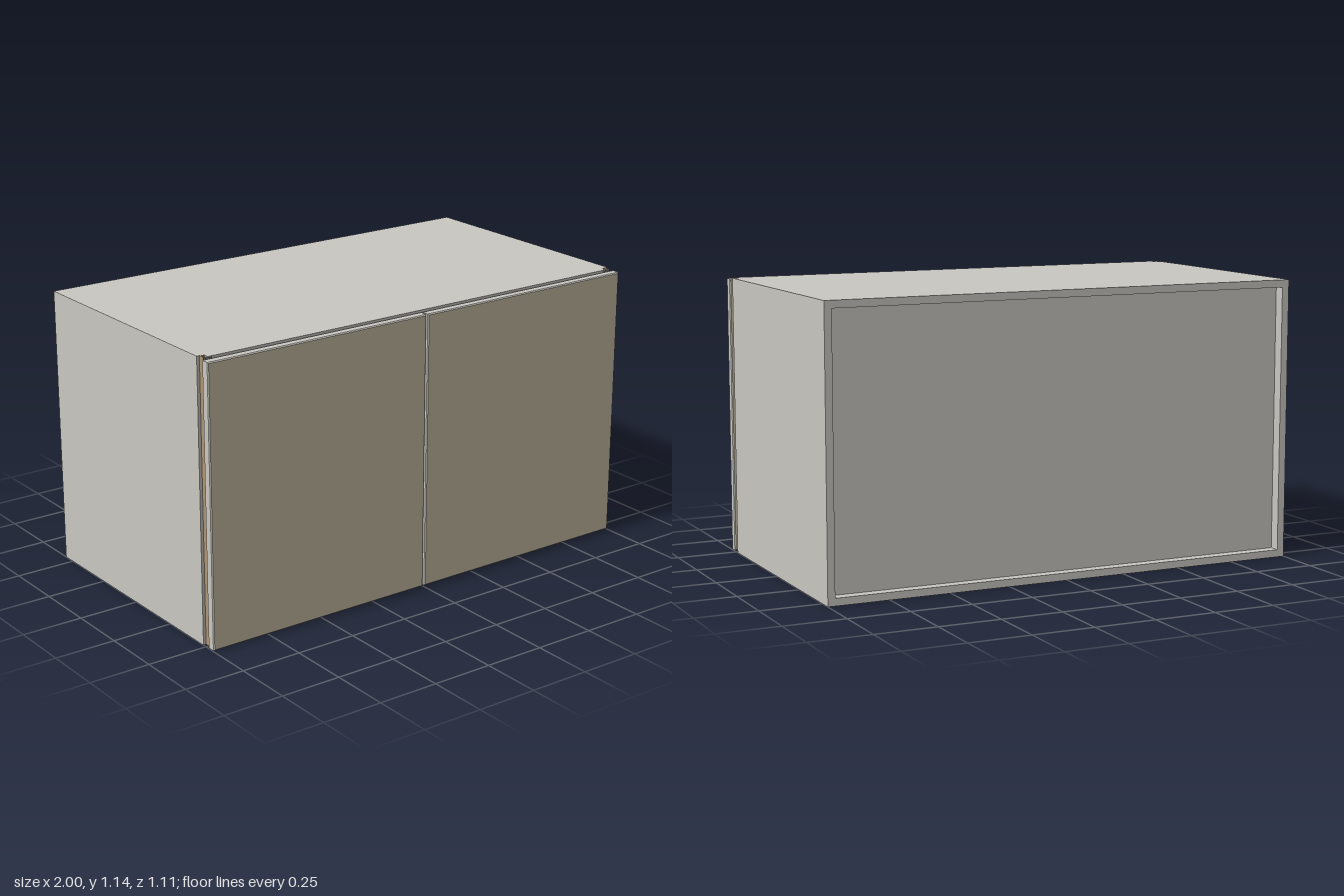
import * as THREE from 'three';

const H = 1.14;      // overall height
const BACK = -0.555; // rear plane
const FRONT = 0.51;  // front plane of the carcass
const T = 0.03;      // panel thickness

const mat = (name, color) => {
  const m = new THREE.MeshStandardMaterial({ color });
  m.name = name;
  return m;
};

export function createModel() {
  const grey = mat('warm grey panel', 0xc9c7c1);
  const tan = mat('tan door face', 0xcabfa7);
  const brown = mat('brown trim', 0xae9475);
  const metal = mat('grey metal', 0x8c8c8a);

  const model = new THREE.Group();
  model.name = 'cabinet';

  // Box given by its minimum and maximum on each axis
  const box = (name, material, [x0, x1], [y0, y1], [z0, z1], parent = model) => {
    const mesh = new THREE.Mesh(new THREE.BoxGeometry(x1 - x0, y1 - y0, z1 - z0), material);
    mesh.position.set((x0 + x1) / 2, (y0 + y1) / 2, (z0 + z1) / 2);
    mesh.name = name;
    parent.add(mesh);
    return mesh;
  };
  const span = (side, a, b) => (side > 0 ? [a, b] : [-b, -a]);

  // Carcass: top and bottom between the sides, back panel set in
  const inner = [-1 + T, 1 - T];
  box('bottomPanel', grey, inner, [0, T], [BACK, FRONT]);
  box('topPanel', grey, inner, [H - T, H], [BACK, FRONT]);
  box('backPanel', grey, inner, [T, H - T], [BACK + 0.045, BACK + 0.06]);

  // Door with bevelled edges: tan faces, grey edges
  const bevel = 0.004;
  const doorGeometry = (w, h, d) => {
    const x = w / 2 - bevel, y = h / 2 - bevel;
    const shape = new THREE.Shape([
      new THREE.Vector2(-x, -y), new THREE.Vector2(x, -y),
      new THREE.Vector2(x, y), new THREE.Vector2(-x, y),
    ]);
    const g = new THREE.ExtrudeGeometry(shape, {
      depth: d - 2 * bevel, bevelSize: bevel, bevelThickness: bevel, bevelSegments: 1,
    });
    return g.translate(0, 0, bevel);
  };

  for (const side of [1, -1]) {
    const label = side > 0 ? 'left' : 'right';
    // Side panel stops short of the front, leaving a corner notch
    box(label + 'SidePanel', grey, span(side, 1 - T, 1), [0, H], [BACK, 0.483]);

    // Angle trim standing in the notch
    const trim = new THREE.Group();
    trim.name = label + 'CornerTrim';
    model.add(trim);
    box('trimFlange', brown, span(side, 0.97, 0.988), [0, H], [0.483, 0.488], trim);
    box('trimWeb', brown, span(side, 0.984, 0.988), [0, H], [0.488, 0.508], trim);
    box('trimInnerStrip', brown, span(side, 0.966, 0.97), [T, H - T], [0.483, 0.508], trim);

    const door = new THREE.Mesh(doorGeometry(0.996, 1.131, 0.038), [tan, grey]);
    door.name = label + 'Door';
    door.position.set(side * 0.502, 0.003 + 1.131 / 2, 0.517);
    model.add(door);

    // Small hinge tabs at the top and bottom corners
    for (const [name, y] of [['bottomHingeTab', [0.002, 0.03]], ['topHingeTab', [1.114, 1.138]]]) {
      box(label + name, metal, span(side, 0.955, 0.985), y, [0.505, 0.515]);
    }
  }

  // Stop in the middle of the door gap
  box('doorStop', metal, [-0.012, 0.012], [0.548, 0.563], [0.507, 0.516]);

  return model;
}
